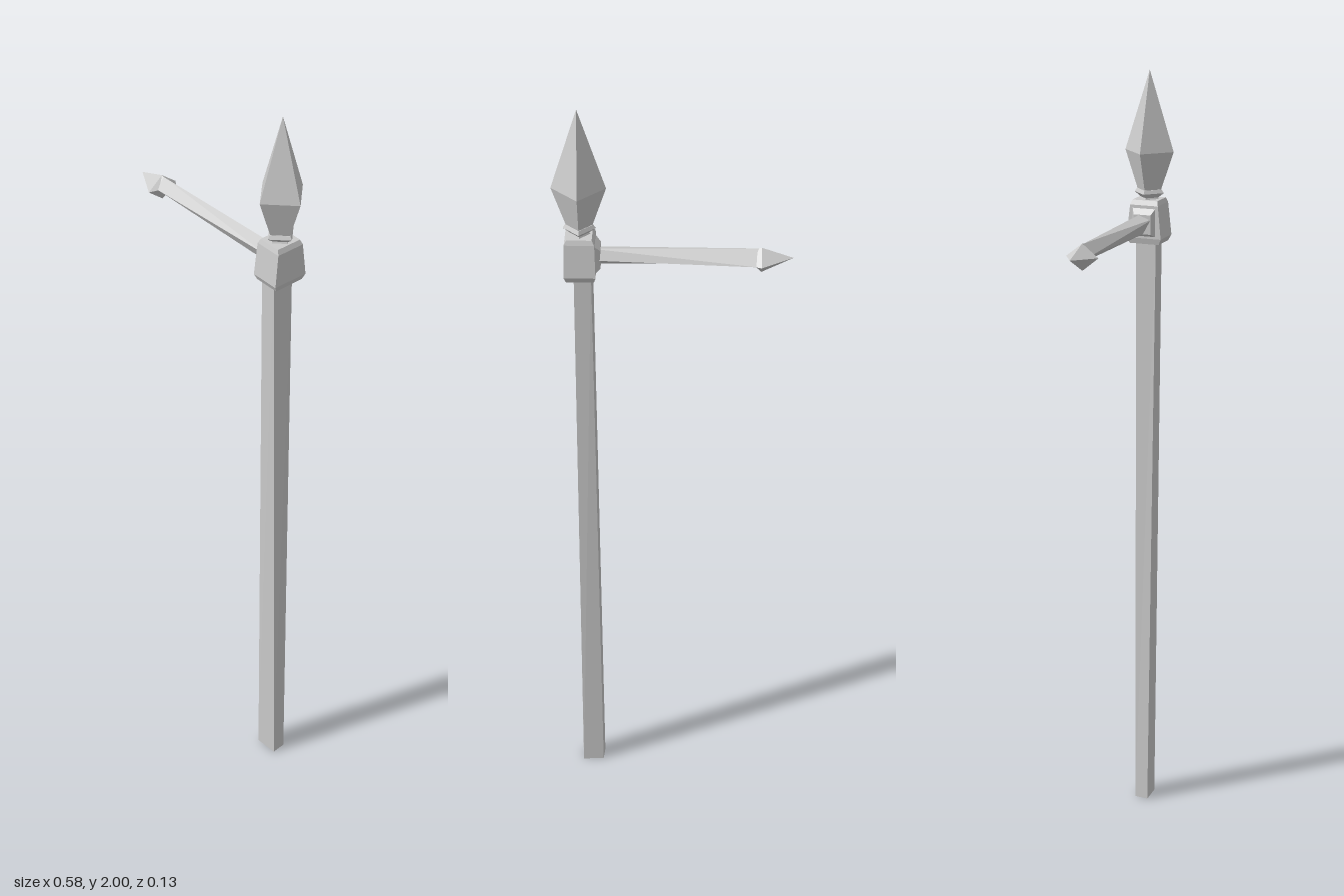
import * as THREE from 'three';

const material = new THREE.MeshStandardMaterial({ color: 0xcccccc, flatShading: true });

// Closed skin over matching rings, each counterclockwise as seen from the last ring.
function loft(name, rings) {
  const pos = [];
  const tri = (...pts) => pts.forEach((p) => pos.push(...p));
  const n = rings[0].length;
  for (let r = 0; r < rings.length - 1; r++) {
    const a = rings[r], b = rings[r + 1];
    for (let i = 0; i < n; i++) {
      const j = (i + 1) % n;
      tri(a[i], a[j], b[j]);
      tri(a[i], b[j], b[i]);
    }
  }
  const first = rings[0], last = rings[rings.length - 1];
  for (let i = 1; i < n - 1; i++) {
    tri(first[0], first[i + 1], first[i]);
    tri(last[0], last[i], last[i + 1]);
  }
  const geo = new THREE.BufferGeometry();
  geo.setAttribute('position', new THREE.Float32BufferAttribute(pos, 3));
  geo.computeVertexNormals();
  return part(name, geo);
}

function part(name, geo) {
  const mesh = new THREE.Mesh(geo, material);
  mesh.name = name;
  return mesh;
}

// Rings across the y axis and across the x axis
const flat = (y, pts) => pts.map(([x, z]) => [x, y, z]);
const upright = (x, pts) => pts.map(([z, y]) => [x, y, z]);
const rect = (y, x0, x1, z) => flat(y, [[x0, z], [x1, z], [x1, -z], [x0, -z]]);

// Four-sided turned shape with its corners on the axes
function turned(name, profile, x) {
  const geo = new THREE.LatheGeometry(profile.map(([r, y]) => new THREE.Vector2(r, y)), 4);
  const mesh = part(name, geo);
  mesh.position.x = x;
  return mesh;
}

export function createModel() {
  const group = new THREE.Group();
  group.name = 'signpost';
  const cx = 0.225;

  // Rough-hewn, slightly twisted post
  group.add(loft('post', [
    flat(0, [[0.192, 0.015], [0.253, 0.012], [0.25, -0.026], [0.195, -0.022]]),
    flat(1.58, [[0.196, 0.03], [0.238, 0.03], [0.24, -0.025], [0.198, -0.025]]),
  ]));

  // Head block, flared towards its chamfered foot
  group.add(loft('headBlock', [
    rect(1.56, 0.19, 0.258, 0.04),
    rect(1.575, 0.186, 0.263, 0.047),
    rect(1.66, 0.188, 0.261, 0.038),
    rect(1.672, 0.194, 0.255, 0.034),
  ]));

  // Collar and spear-shaped finial
  group.add(turned('collar', [
    [0, 1.665], [0.03, 1.665], [0.024, 1.676], [0.04, 1.688], [0.034, 1.697], [0, 1.7],
  ], cx));
  group.add(turned('finial', [
    [0, 1.69], [0.03, 1.69], [0.066, 1.795], [0, 2],
  ], cx));

  // Side arm and its socket
  group.add(loft('arm', [
    upright(-0.206, [[0, 1.637], [0.022, 1.61], [0.004, 1.594], [-0.034, 1.604]]),
    upright(0.2, [[-0.01, 1.637], [0.022, 1.625], [0.002, 1.588], [-0.024, 1.612]]),
  ]));
  group.add(loft('armSocket', [
    upright(0.175, [[-0.023, 1.638], [0.023, 1.638], [0.023, 1.588], [-0.023, 1.588]]),
    upright(0.195, [[-0.035, 1.66], [0.035, 1.66], [0.038, 1.575], [-0.038, 1.575]]),
  ]));

  // Pointed arm tip
  group.add(loft('armTip', [
    upright(-0.29, [[0, 1.612], [0, 1.612], [0, 1.612], [0, 1.612]]),
    upright(-0.213, [[0, 1.639], [0.042, 1.606], [0, 1.572], [-0.042, 1.606]]),
    upright(-0.2, [[0, 1.635], [0.02, 1.61], [0, 1.596], [-0.034, 1.604]]),
  ]));

  return group;
}
